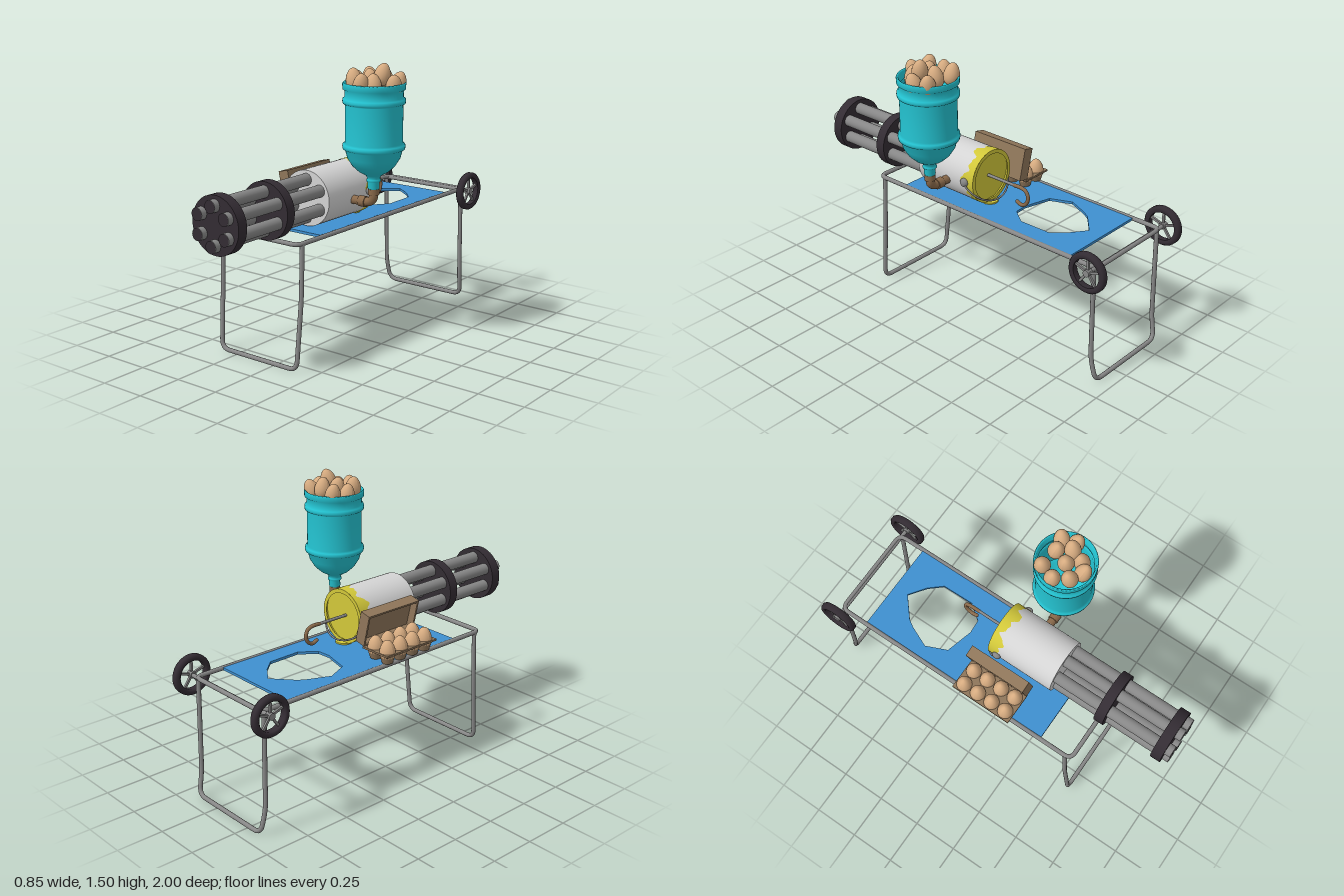
import * as THREE from 'three';

const mat = (name, color, side = THREE.FrontSide) => {
  const m = new THREE.MeshStandardMaterial({ color, side });
  m.name = name;
  return m;
};
const V = (x, y, z) => new THREE.Vector3(x, y, z);

export function createModel() {
  const M = {
    steel: mat('steel grey', 0x878787),
    dark: mat('dark rubber', 0x332c33),
    white: mat('bucket white', 0xd4d4d4),
    yellow: mat('yellow paint', 0xd2c83a, THREE.DoubleSide),
    teal: mat('bottle teal', 0x24c4d2, THREE.DoubleSide),
    blue: mat('sheet blue', 0x3f90d0),
    egg: mat('egg shell', 0xd6ab80),
    brown: mat('carton brown', 0x8f765a),
    pipe: mat('pipe brown', 0x8a6a4b),
  };
  const root = new THREE.Group();
  root.name = 'eggLauncher';
  const group = (name, parent = root) => {
    const g = new THREE.Group();
    g.name = name;
    parent.add(g);
    return g;
  };
  const add = (name, geo, m, parent = root, x = 0, y = 0, z = 0) => {
    const o = new THREE.Mesh(geo, m);
    o.name = name;
    o.position.set(x, y, z);
    parent.add(o);
    return o;
  };
  // Straight runs joined by rounded bends
  const bent = (pts, r, closed = false) => {
    const path = new THREE.CurvePath();
    const n = pts.length;
    const toward = (a, b) => a.clone().add(b.clone().sub(a).setLength(Math.min(r, a.distanceTo(b) * 0.45)));
    let prev = closed ? toward(pts[0], pts[1]) : pts[0];
    const first = prev;
    for (let i = 1; i < (closed ? n + 1 : n - 1); i++) {
      const p = pts[i % n], a = toward(p, pts[(i - 1) % n]), b = toward(p, pts[(i + 1) % n]);
      path.add(new THREE.LineCurve3(prev, a));
      path.add(new THREE.QuadraticBezierCurve3(a, p, b));
      prev = b;
    }
    if (!closed) path.add(new THREE.LineCurve3(prev, pts[n - 1]));
    else if (prev.distanceTo(first) > 1e-4) path.add(new THREE.LineCurve3(prev, first));
    return path;
  };
  const tube = (curve, r, seg = 80) => new THREE.TubeGeometry(curve, seg, r, 12);
  const rodZ = (r, z0, z1, seg = 32, open = false) =>
    new THREE.CylinderGeometry(r, r, z1 - z0, seg, 1, open).rotateX(Math.PI / 2).translate(0, 0, (z0 + z1) / 2);

  // Tubular trolley frame
  const frame = group('frame');
  const L = -0.36, R = 0.163, Y = 0.66;
  add('topRail', tube(bent([V(L, Y, 0), V(L, Y, 0.575), V(R, Y, 0.575), V(R, Y, -0.9), V(L, Y, -0.9), V(L, Y, 0)], 0.04), 0.012, 240), M.steel, frame);
  const leg = (name, top, mid, midY, foot) =>
    add(name, tube(bent([V(L, Y, top), V(L, midY, mid), V(L + 0.01, 0.014, foot),
      V(R - 0.01, 0.014, foot), V(R, midY, mid), V(R, Y, top)], 0.05), 0.012, 160), M.steel, frame);
  leg('frontLeg', 0.54, 0.55, 0.38, 0.58);
  leg('backLeg', -0.885, -0.893, 0.14, -0.92);

  // Wheels and axle
  add('axle', new THREE.CylinderGeometry(0.011, 0.011, 0.63, 12).rotateZ(Math.PI / 2), M.steel, frame, -0.0975, 0.655, -0.89);
  for (const x of [-0.411, 0.214]) {
    const w = group('wheel');
    w.position.set(x, 0.655, -0.888);
    const tyre = [[0.076, -0.016], [0.088, -0.021], [0.1, -0.019], [0.107, -0.01], [0.107, 0.01],
      [0.1, 0.019], [0.088, 0.021], [0.076, 0.016], [0.076, -0.016]].map(p => new THREE.Vector2(...p));
    add('tyre', new THREE.LatheGeometry(tyre, 36).rotateZ(Math.PI / 2), M.dark, w);
    add('hub', new THREE.CylinderGeometry(0.018, 0.018, 0.034, 16).rotateZ(Math.PI / 2), M.steel, w);
    for (let i = 0; i < 5; i++)
      add('spoke', new THREE.BoxGeometry(0.012, 0.075, 0.012).translate(0, 0.042, 0).rotateX(i * Math.PI * 0.4), M.steel, w);
  }

  // Blue sheet with a torn hole
  const sheet = new THREE.Shape([[-0.35, -0.74], [0.155, -0.74], [0.155, 0.385], [-0.35, 0.385]].map(p => new THREE.Vector2(...p)));
  sheet.holes.push(new THREE.Path([[-0.1, -0.655], [-0.21, -0.56], [-0.235, -0.52], [-0.285, -0.405], [-0.235, -0.29],
    [-0.085, -0.25], [-0.01, -0.255], [0.055, -0.34], [0.052, -0.52], [-0.01, -0.59]].map(p => new THREE.Vector2(...p))));
  add('sheet', new THREE.ExtrudeGeometry(sheet, { depth: 0.014, bevelEnabled: false }).rotateX(Math.PI / 2), M.blue, root, 0, 0.667, 0);

  // Rotary gun: bucket body, barrels and clamps
  const gun = group('gun');
  gun.position.set(-0.005, 0.815, 0);
  add('bucket', rodZ(0.145, -0.06, 0.3, 48), M.white, gun);
  const paint = rodZ(0.1465, -0.086, -0.03, 96, true);
  const p = paint.attributes.position;
  for (let i = 0; i < p.count; i++) if (p.getZ(i) > -0.05) {
    const a = Math.atan2(p.getY(i), p.getX(i));
    p.setZ(i, -0.03 + 0.016 * Math.sin(5 * a + 1) + 0.012 * Math.sin(11 * a) + 0.006 * Math.sin(23 * a));
  }
  add('paintedRim', paint, M.yellow, gun);
  add('paintedBase', new THREE.CircleGeometry(0.145, 48).rotateY(Math.PI), M.yellow, gun, 0, 0, -0.062);
  add('rimLip', new THREE.RingGeometry(0.125, 0.1465, 48), M.yellow, gun, 0, 0, -0.086);
  add('paintDrip', new THREE.CylinderGeometry(0.045, 0.045, 0.008, 20), M.yellow, gun, 0, -0.142, -0.075);
  for (let i = 0; i < 6; i++) {
    const a = Math.PI / 2 + i * Math.PI / 3, x = 0.097 * Math.cos(a), y = 0.097 * Math.sin(a);
    add('barrel', rodZ(0.032, 0.29, 0.998, 24), M.steel, gun, x, y);
    add('muzzle', new THREE.CircleGeometry(0.032, 24), M.dark, gun, x, y, 1.0);
  }
  add('frontClamp', rodZ(0.147, 0.908, 0.965, 48), M.dark, gun);
  add('middleClamp', rodZ(0.147, 0.568, 0.622, 48), M.dark, gun);

  // Wire bail with its pivots
  const bail = [];
  for (let i = 0; i <= 16; i++) {
    const a = i * Math.PI / 16, s = Math.sin(a);
    bail.push(V(0.158 * Math.cos(a), -0.115 * s, -0.03 - 0.1 * s));
  }
  add('bail', tube(new THREE.CatmullRomCurve3(bail), 0.005, 48), M.steel, gun);
  for (const s of [-1, 1]) add('bailPivot', new THREE.SphereGeometry(0.024, 16, 12).scale(0.7, 1, 1), M.steel, gun, s * 0.15, 0, -0.03);

  // Crank rod with a hooked grip
  add('crankRod', rodZ(0.008, -0.25, -0.06, 12), M.steel, gun);
  const hook = [V(0, 0, -0.24), V(0, 0, -0.29), V(0, -0.012, -0.32), V(0, -0.045, -0.333),
    V(0, -0.08, -0.32), V(0, -0.095, -0.29), V(0, -0.085, -0.262)];
  add('hookGrip', tube(new THREE.CatmullRomCurve3(hook), 0.01, 40), M.pipe, gun);
  add('gripEnd', new THREE.SphereGeometry(0.01, 10, 8), M.pipe, gun, 0, -0.085, -0.262);

  // Upturned bottle hopper
  const hopper = group('hopper');
  hopper.position.set(0.264, 0, 0.097);
  const profile = [[0.024, 0.86], [0.03, 0.87], [0.03, 0.9], [0.036, 0.905], [0.036, 0.915], [0.031, 0.92], [0.04, 0.935],
    [0.075, 0.955], [0.108, 0.985], [0.133, 1.025], [0.144, 1.065], [0.156, 1.073], [0.158, 1.085], [0.156, 1.096],
    [0.145, 1.104], [0.145, 1.295], [0.156, 1.302], [0.158, 1.313], [0.156, 1.325], [0.146, 1.332], [0.146, 1.365],
    [0.157, 1.373], [0.158, 1.4], [0.154, 1.406], [0.146, 1.4], [0.14, 1.36]].map(q => new THREE.Vector2(...q));
  add('bottle', new THREE.LatheGeometry(profile, 48), M.teal, hopper);

  // Feed pipe from bottle to bucket
  add('feedPipe', tube(bent([V(0, 0.88, 0), V(0, 0.79, 0), V(-0.14, 0.79, 0)], 0.06), 0.023, 40), M.pipe, hopper);
  add('upperCollar', new THREE.CylinderGeometry(0.029, 0.029, 0.03, 20), M.pipe, hopper, 0, 0.85, 0);
  add('lowerCollar', new THREE.CylinderGeometry(0.028, 0.028, 0.04, 20).rotateZ(Math.PI / 2), M.pipe, hopper, -0.065, 0.79, 0);

  // Egg: a sphere narrowed toward the top
  const eggGeo = new THREE.SphereGeometry(0.041, 20, 16);
  const e = eggGeo.attributes.position;
  for (let i = 0; i < e.count; i++) {
    const t = e.getY(i) / 0.041, k = 1 - 0.16 * t;
    e.setXYZ(i, e.getX(i) * k, t * 0.058, e.getZ(i) * k);
  }
  eggGeo.computeVertexNormals();
  const loose = [[0.18, 0.015, 1.41], [0.28, 0.03, 1.42], [0.35, 0.015, 1.4], [0.155, 0.09, 1.4], [0.25, 0.105, 1.415],
    [0.315, 0.1, 1.447], [0.375, 0.085, 1.395], [0.19, 0.165, 1.42], [0.305, 0.16, 1.4], [0.26, 0.2, 1.405]];
  loose.forEach(([x, z, y], i) => {
    const o = add('hopperEgg', eggGeo, M.egg, hopper, x - 0.264, y, z - 0.097);
    o.rotation.set(0.25 * Math.sin(i * 2.3), 0, 0.25 * Math.cos(i * 1.7));
  });

  // Egg carton: tray with cups, eggs and a raised lid
  const carton = group('carton');
  add('trayDeck', new THREE.BoxGeometry(0.18, 0.01, 0.35), M.brown, carton, -0.31, 0.723, 0.035);
  for (const x of [-0.355, -0.268]) for (let i = 0; i < 4; i++) {
    const z = -0.095 + i * 0.086;
    add('cup', new THREE.CylinderGeometry(0.043, 0.028, 0.05, 16), M.brown, carton, x, 0.696, z);
    add('cartonEgg', eggGeo, M.egg, carton, x, 0.734, z);
  }
  const lid = group('lid', carton);
  lid.position.set(-0.218, 0.822, 0.035);
  lid.rotation.z = 0.23;
  add('lidPanel', new THREE.BoxGeometry(0.02, 0.175, 0.35), M.brown, lid, 0.021, 0, 0);
  for (const s of [-1, 1]) {
    add('lidLongSide', new THREE.BoxGeometry(0.042, 0.01, 0.35), M.brown, lid, -0.01, s * 0.0825, 0);
    add('lidShortSide', new THREE.BoxGeometry(0.042, 0.155, 0.01), M.brown, lid, -0.01, 0, s * 0.17);
  }
  return root;
}
